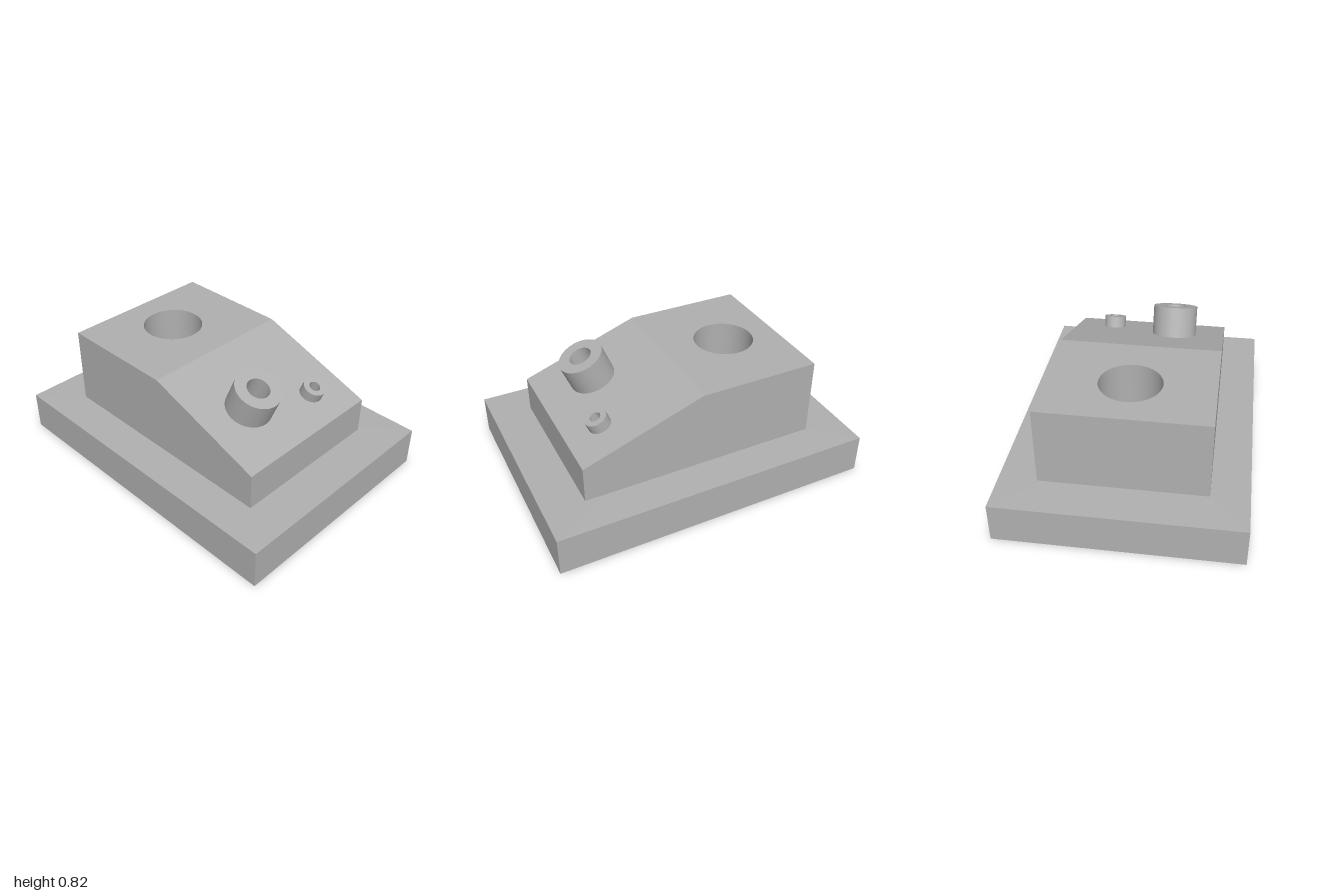
import * as THREE from 'three';
import { toCreasedNormals } from 'three/addons/utils/BufferGeometryUtils.js';

const BASE_TOP = 0.247, BODY_TOP = 0.74, BODY_END = 0.475;
const BODY_X = 0.75, BODY_Z = 0.497;

function rectShape(x0, x1, z) {
  return new THREE.Shape([
    new THREE.Vector2(x0, -z), new THREE.Vector2(x1, -z),
    new THREE.Vector2(x1, z), new THREE.Vector2(x0, z),
  ]);
}

function addHole(shape, x, y, r) {
  shape.holes.push(new THREE.Path().absarc(x, y, r, 0, Math.PI * 2, true));
  return shape;
}

// Extrudes a plan shape upwards from y = 0, round walls smooth and edges sharp
function extrudeUp(shape, height) {
  const geo = new THREE.ExtrudeGeometry(shape, { depth: height, bevelEnabled: false, curveSegments: 48 });
  geo.rotateX(-Math.PI / 2);
  return toCreasedNormals(geo, 0.5);
}

export function createModel() {
  const group = new THREE.Group();
  const grey = new THREE.MeshStandardMaterial({ color: 0xb0b0b0 });
  grey.name = 'grey';

  function add(name, geo) {
    const mesh = new THREE.Mesh(geo, grey);
    mesh.name = name;
    group.add(mesh);
    return mesh;
  }

  // Base plate and flat half of the body, both pierced by the same shaft
  const hole = [-0.406, 0, 0.187];
  add('basePlate', extrudeUp(addHole(rectShape(-1, 1, 0.725), ...hole), BASE_TOP));
  add('bodyBlock', extrudeUp(addHole(rectShape(-BODY_X, 0, BODY_Z), ...hole), BODY_TOP - BASE_TOP))
    .position.y = BASE_TOP;

  // Sloping half of the body
  const profile = new THREE.Shape([
    new THREE.Vector2(0, BASE_TOP), new THREE.Vector2(BODY_X, BASE_TOP),
    new THREE.Vector2(BODY_X, BODY_END), new THREE.Vector2(0, BODY_TOP),
  ]);
  const slope = new THREE.ExtrudeGeometry(profile, { depth: 2 * BODY_Z, bevelEnabled: false });
  slope.translate(0, 0, -BODY_Z);
  add('bodySlope', slope);

  // Tilted hollow bosses, placed by the centre of the rim and sunk into the slope
  const tilt = Math.PI / 8;
  function boss(name, x, y, z, outer, inner, length) {
    const ring = new THREE.Shape().absarc(0, 0, outer, 0, Math.PI * 2, false);
    const geo = extrudeUp(addHole(ring, 0, 0, inner), length);
    geo.translate(0, -length, 0);
    const mesh = add(name, geo);
    mesh.position.set(x, y, z);
    mesh.rotation.z = -tilt;
  }
  boss('largeBoss', 0.49, 0.763, 0.17, 0.142, 0.07, 0.21);
  boss('smallBoss', 0.57, 0.612, -0.247, 0.07, 0.034, 0.085);

  return group;
}
